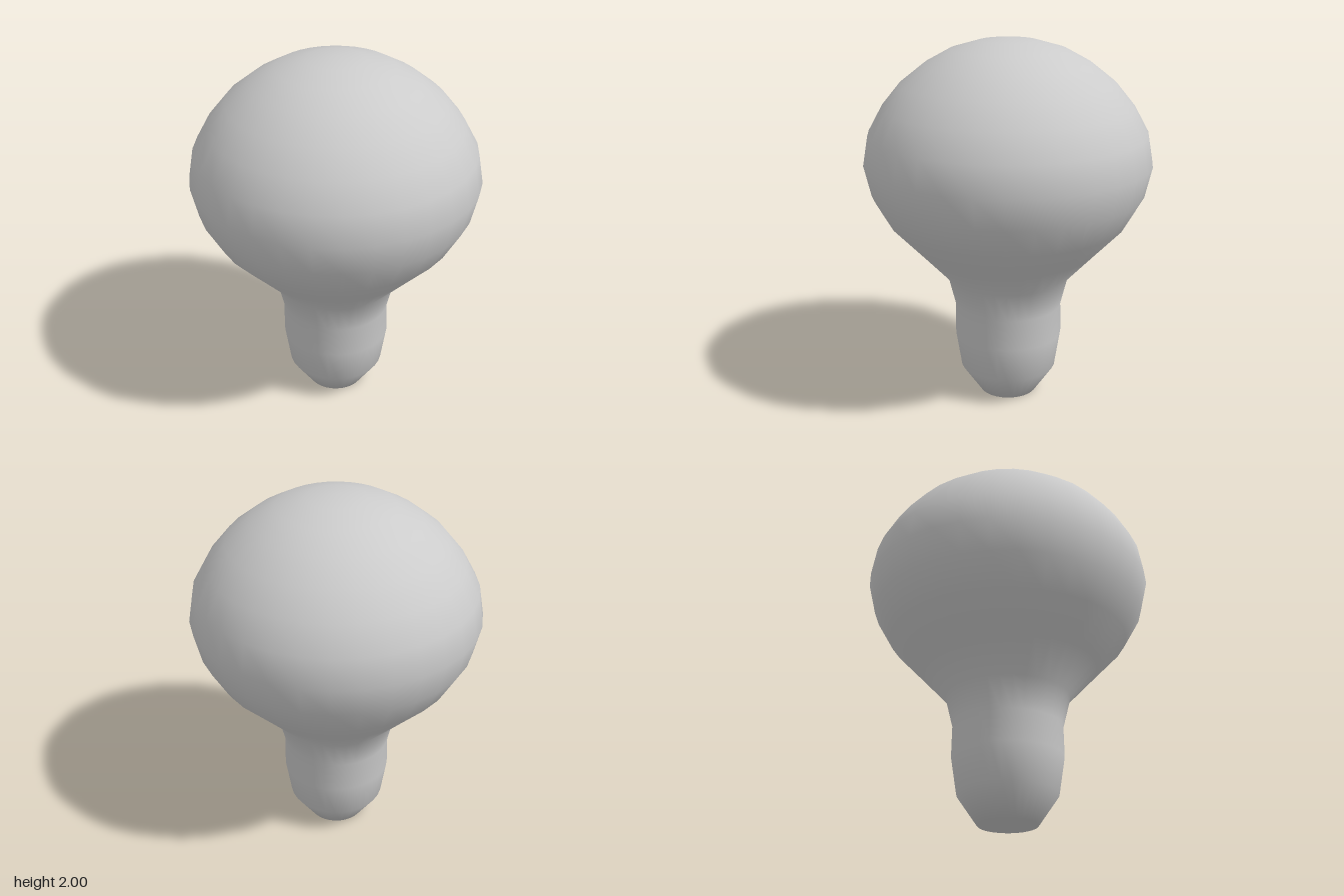
import * as THREE from 'three';

// Profile [radius, height], from the dimple under the base to the crown
const PROFILE = [
  [0, 0.08], [0.158, 0], [0.266, 0.157], [0.297, 0.355], [0.294, 0.525],
  [0.335, 0.69], [0.49, 0.855], [0.647, 1.02], [0.737, 1.18], [0.775, 1.345],
  [0.747, 1.505], [0.67, 1.645], [0.57, 1.767], [0.443, 1.867], [0.308, 1.941],
  [0.155, 1.985], [0, 2],
];

export function createModel() {
  const model = new THREE.Group();
  const geometry = new THREE.LatheGeometry(PROFILE.map(([r, y]) => new THREE.Vector2(r, y)), 32);

  // Smooth the two poles: the dimple centre points down, the crown points up
  const { position, normal } = geometry.attributes;
  for (let i = 0; i < position.count; i++) {
    if (Math.hypot(position.getX(i), position.getZ(i)) < 1e-6) {
      normal.setXYZ(i, 0, position.getY(i) > 1 ? 1 : -1, 0);
    }
  }

  const bulb = new THREE.Mesh(geometry, new THREE.MeshStandardMaterial({ color: 0xcccccc }));
  bulb.name = 'bulbBody';
  model.add(bulb);
  return model;
}
